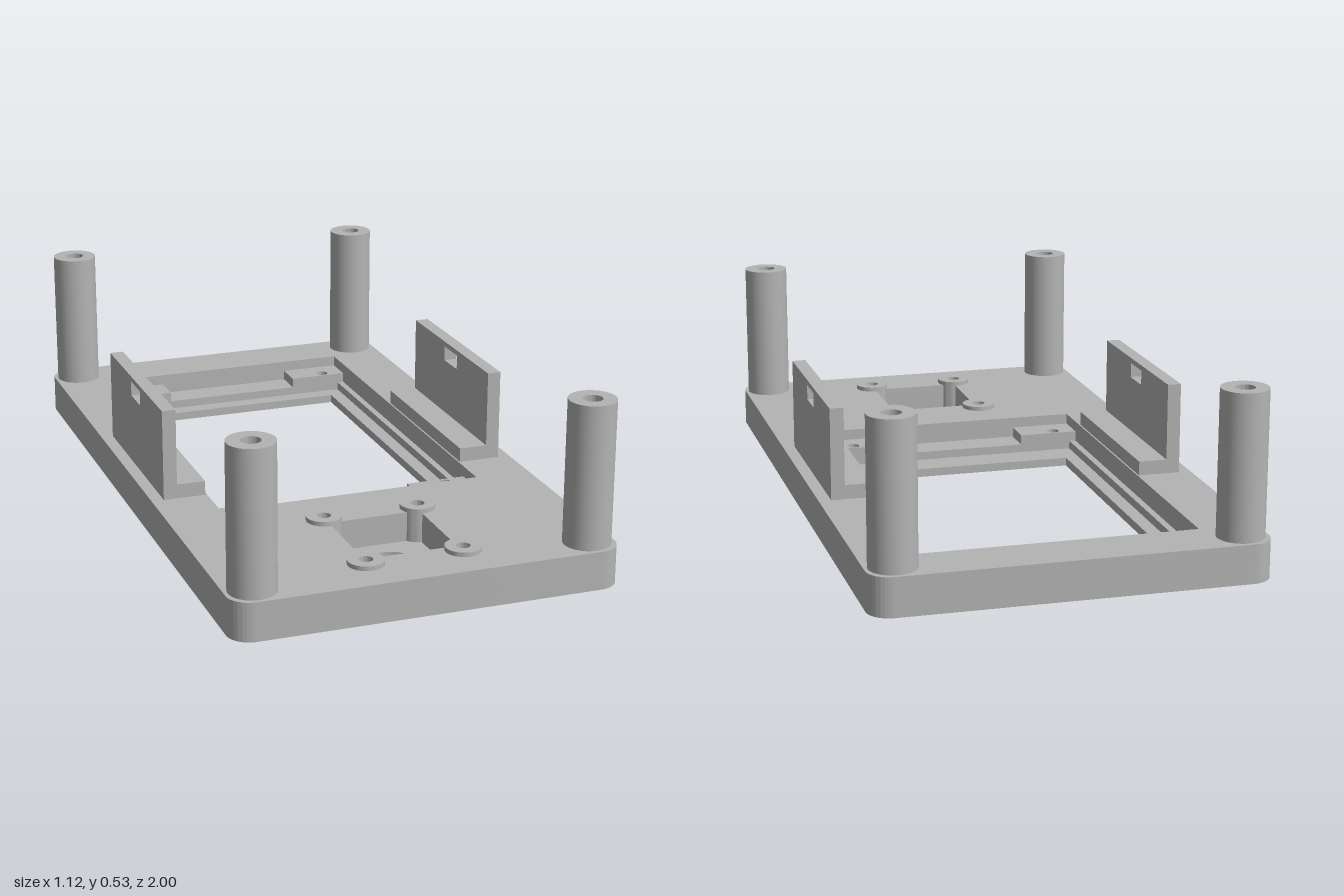
import * as THREE from 'three';
import { toCreasedNormals } from 'three/addons/utils/BufferGeometryUtils.js';

const grey = new THREE.MeshStandardMaterial({ color: 0xb4b4b4 });
grey.name = 'grey plastic';

// Outlines are given in plan as x, z; the shape plane holds x, -z
const polygon = (pts) => new THREE.Path(pts.map(([x, z]) => new THREE.Vector2(x, -z)));
const rect = (x0, x1, z0, z1) => polygon([[x0, z0], [x1, z0], [x1, z1], [x0, z1]]);
const circle = (x, z, r) => new THREE.Path().absarc(x, -z, r, 0, Math.PI * 2, false);

function roundedRect(hx, hz, r) {
  const s = new THREE.Shape();
  s.absarc(hx - r, hz - r, r, 0, Math.PI / 2, false);
  s.absarc(-hx + r, hz - r, r, Math.PI / 2, Math.PI, false);
  s.absarc(-hx + r, -hz + r, r, Math.PI, Math.PI * 1.5, false);
  s.absarc(hx - r, -hz + r, r, Math.PI * 1.5, Math.PI * 2, false);
  s.closePath();
  return s;
}

function extrude(shape, holes, depth) {
  shape.holes = holes;
  const geo = new THREE.ExtrudeGeometry(shape, { depth, bevelEnabled: false, curveSegments: 20 });
  return toCreasedNormals(geo, 0.6);
}

// Upright slab between two heights with a plan outline
function slab(name, shape, holes, y0, y1) {
  const geo = extrude(shape, holes, y1 - y0);
  geo.rotateX(-Math.PI / 2);
  geo.translate(0, y0, 0);
  const mesh = new THREE.Mesh(geo, grey);
  mesh.name = name;
  return mesh;
}

// Hollow round pillar
function tube(name, x, z, r, hole, y0, y1) {
  const disc = new THREE.Shape().absarc(x, -z, r, 0, Math.PI * 2, false);
  return slab(name, disc, [circle(x, z, hole)], y0, y1);
}

const TOP = 0.112, FLOOR = 0.025, MID = 0.05, PAD = 0.08;

export function createModel() {
  const model = new THREE.Group();
  model.name = 'devicePanel';

  const bosses = [], padHoles = [];
  for (const x of [-1, 1]) {
    for (const z of [0.532, 0.86]) bosses.push([x * 0.141, z]);
    for (const z of [-0.772, 0.303]) padHoles.push(circle(x * 0.325, z, 0.019));
  }
  const screwHoles = () => bosses.map(([x, z]) => circle(x, z, 0.02));
  const well = () => rect(-0.136, 0.136, 0.56, 0.83);

  // Base plate in layers: front skin, deep recess, pad level, rim
  const plate = new THREE.Group();
  plate.name = 'basePlate';
  const outline = () => roundedRect(0.558, 1, 0.065);
  const a = 0.393, b = 0.213, z0 = -0.838, z1 = -0.748, z2 = 0.278, z3 = 0.373;
  const padLevel = polygon([
    [-b, z0], [b, z0], [b, z1], [a, z1], [a, z2], [b, z2],
    [b, z3], [-b, z3], [-b, z2], [-a, z2], [-a, z1], [-b, z1],
  ]);
  plate.add(
    slab('frontSkin', outline(), [rect(-0.332, 0.332, -0.698, 0.18), circle(0, 0.695, 0.08)], 0, FLOOR),
    slab('deepRecess', outline(), [rect(-0.373, 0.373, z1, z2), well()], FLOOR, MID),
    slab('padLevel', outline(), [padLevel, well(), ...padHoles, ...screwHoles()], MID, PAD),
    slab('rim', outline(), [rect(-a, a, z0, z3), well(), ...screwHoles()], PAD, TOP),
  );
  model.add(plate);

  // Screw bosses around the square well
  for (const [x, z] of bosses) model.add(tube('screwBoss', x, z, 0.051, 0.02, FLOOR, 0.125));

  // Corner posts
  for (const x of [-0.481, 0.481]) {
    for (const z of [-0.922, 0.922]) model.add(tube('cornerPost', x, z, 0.067, 0.028, TOP, 0.527));
  }

  // Side brackets: slotted wall with an inward foot
  const back = -0.326, front = 0.24;
  for (const side of [-1, 1]) {
    const bracket = new THREE.Group();
    bracket.name = side > 0 ? 'leftBracket' : 'rightBracket';

    const wallShape = new THREE.Shape([
      new THREE.Vector2(-front, TOP), new THREE.Vector2(-back, TOP),
      new THREE.Vector2(-back, 0.381), new THREE.Vector2(-front, 0.381),
    ]);
    const slot = new THREE.Path([
      new THREE.Vector2(-0.007, 0.321), new THREE.Vector2(0.09, 0.321),
      new THREE.Vector2(0.09, 0.365), new THREE.Vector2(-0.007, 0.365),
    ]);
    const wallGeo = extrude(wallShape, [slot], 0.04);
    wallGeo.rotateY(Math.PI / 2);
    wallGeo.translate(side > 0 ? 0.482 : -0.522, 0, 0);
    const wall = new THREE.Mesh(wallGeo, grey);
    wall.name = 'bracketWall';

    const foot = new THREE.Mesh(new THREE.BoxGeometry(0.084, 0.042, front - back), grey);
    foot.position.set(side * 0.44, TOP + 0.021, (front + back) / 2);
    foot.name = 'bracketFoot';
    bracket.add(wall, foot);
    model.add(bracket);
  }
  return model;
}
